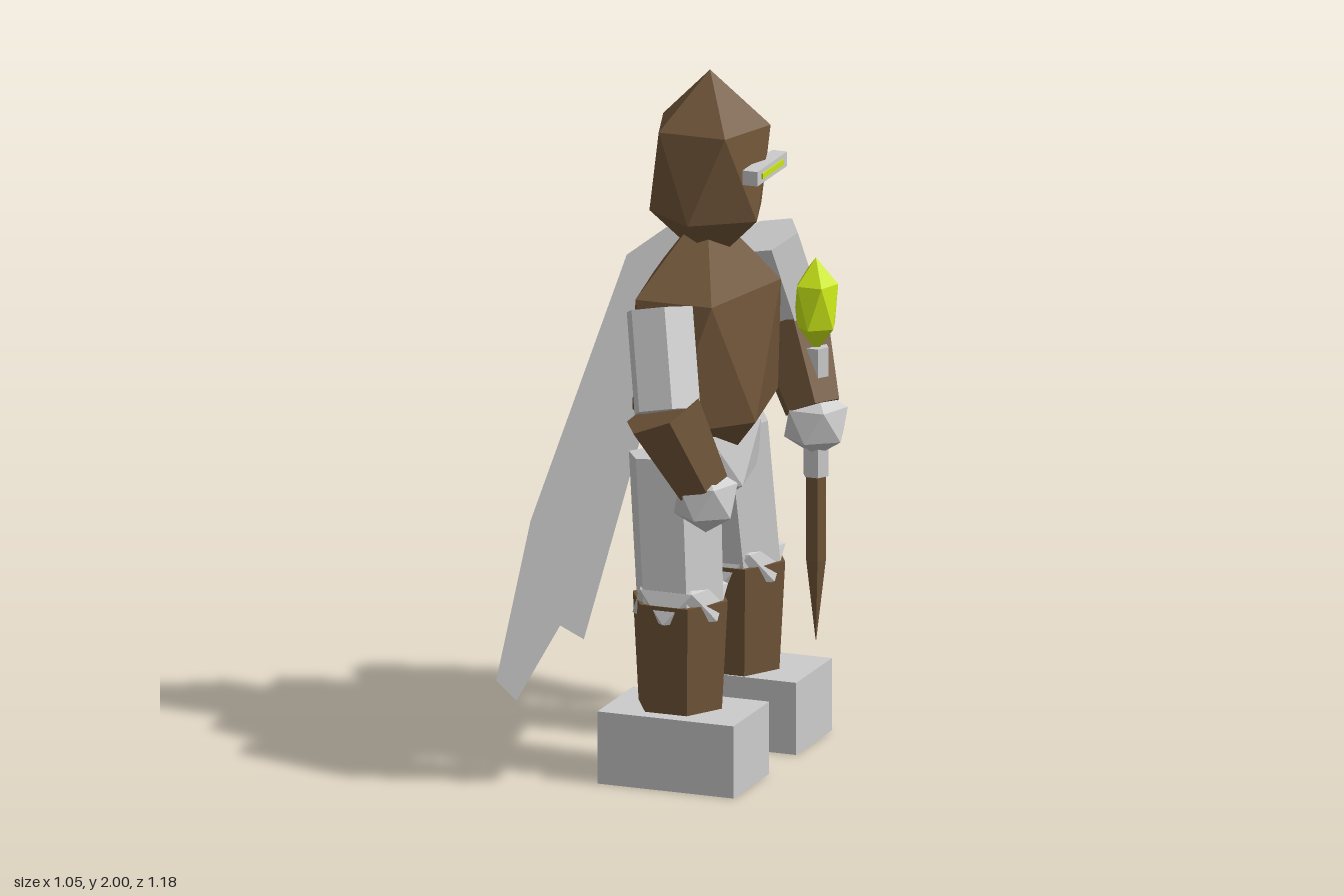
import * as THREE from 'three';

const material = (color) => new THREE.MeshStandardMaterial({ color, flatShading: true });

export function createModel() {
  const grey = material(0xcccccc);
  const brown = material(0x705538);
  const lime = material(0xcbe818);
  const clothGrey = material(0xcccccc);
  clothGrey.side = THREE.DoubleSide;

  const model = new THREE.Group();
  model.name = 'knight';
  // The figure is modelled facing +z, then turned
  const figure = new THREE.Group();
  figure.name = 'figure';
  figure.rotation.y = THREE.MathUtils.degToRad(55);
  model.add(figure);

  const add = (name, geometry, mat, x = 0, y = 0, z = 0) => {
    const mesh = new THREE.Mesh(geometry, mat);
    mesh.name = name;
    mesh.position.set(x, y, z);
    figure.add(mesh);
    return mesh;
  };

  // Icosahedron standing on a corner, stretched to the given radii
  const gem = (name, mat, [x, y, z], [rx, ry, rz]) => {
    const geometry = new THREE.IcosahedronGeometry(1, 0);
    geometry.rotateZ(Math.atan(2 / (1 + Math.sqrt(5))));
    geometry.rotateY(Math.PI);
    geometry.scale(rx, ry, rz);
    return add(name, geometry, mat, x, y, z);
  };

  // Six-sided tapered limb running from a (top) to b (bottom)
  const limb = (name, mat, a, b, rTop, rBottom) => {
    const top = new THREE.Vector3(...a);
    const bottom = new THREE.Vector3(...b);
    const axis = top.clone().sub(bottom);
    const mesh = add(name, new THREE.CylinderGeometry(rTop, rBottom, axis.length(), 6), mat);
    mesh.position.copy(top).add(bottom).multiplyScalar(0.5);
    mesh.quaternion.setFromUnitVectors(new THREE.Vector3(0, 1, 0), axis.normalize());
    return mesh;
  };

  // Body
  gem('head', brown, [0, 1.715, 0.09], [0.19, 0.285, 0.19]);
  gem('torso', brown, [0, 1.2, 0.08], [0.347, 0.41, 0.218]);
  gem('pelvis', grey, [0, 0.9, 0.08], [0.25, 0.18, 0.16]);

  // Visor with glowing slit
  add('visor', new THREE.BoxGeometry(0.225, 0.042, 0.045), grey, 0, 1.73, 0.255);
  add('visorSlit', new THREE.BoxGeometry(0.16, 0.016, 0.01), lime, 0, 1.73, 0.276);

  // Arms and legs, mirrored
  for (const [side, s] of [['left', 1], ['right', -1]]) {
    limb(side + 'UpperArm', grey, [s * 0.4, 1.41, 0.098], [s * 0.479, 1.14, 0.153], 0.1, 0.1);
    limb(side + 'Forearm', brown, [s * 0.477, 1.14, 0.139], [s * 0.418, 0.92, 0.232], 0.12, 0.085);
    gem(side + 'Hand', grey, [s * 0.416, 0.88, 0.243], [0.1, 0.1, 0.1]);

    limb(side + 'Thigh', grey, [s * 0.18, 0.93, 0.055], [s * 0.217, 0.5, 0.087], 0.138, 0.13);
    gem(side + 'Knee', grey, [s * 0.217, 0.52, 0.087], [0.15, 0.1, 0.15]);
    limb(side + 'Shin', brown, [s * 0.217, 0.525, 0.087], [s * 0.217, 0.2, 0.087], 0.143, 0.125);
    add(side + 'Foot', new THREE.BoxGeometry(0.27, 0.21, 0.41), grey, s * 0.237, 0.105, 0.104);
  }

  // Dagger held point down, with a crystal pommel
  const [dx, dz] = [0.416, 0.243];
  limb('daggerGrip', grey, [dx, 1.1, dz], [dx, 0.725, dz], 0.038, 0.038);
  limb('daggerBlade', brown, [dx, 0.73, dz], [dx, 0.48, dz], 0.03, 0.03);
  limb('daggerTip', brown, [dx, 0.48, dz], [dx, 0.245, dz], 0.03, 0.001);
  gem('pommelCrystal', lime, [dx, 1.22, dz], [0.07, 0.138, 0.07]);

  // Ragged cape: flat outline sloping backwards towards the hem
  const outline = [
    [0.268, 1.52], [-0.278, 1.52], [-0.44, 0.765], [-0.315, 0.25],
    [-0.065, 0.12], [0.138, 0.29], [0.403, 0.175], [0.375, 0.77],
  ];
  const cape = new THREE.ShapeGeometry(new THREE.Shape(outline.map((p) => new THREE.Vector2(...p))));
  const pos = cape.attributes.position;
  for (let i = 0; i < pos.count; i++) pos.setZ(i, -0.05 - 0.298 * (1.52 - pos.getY(i)));
  cape.computeVertexNormals();
  add('cape', cape, clothGrey);

  return model;
}
